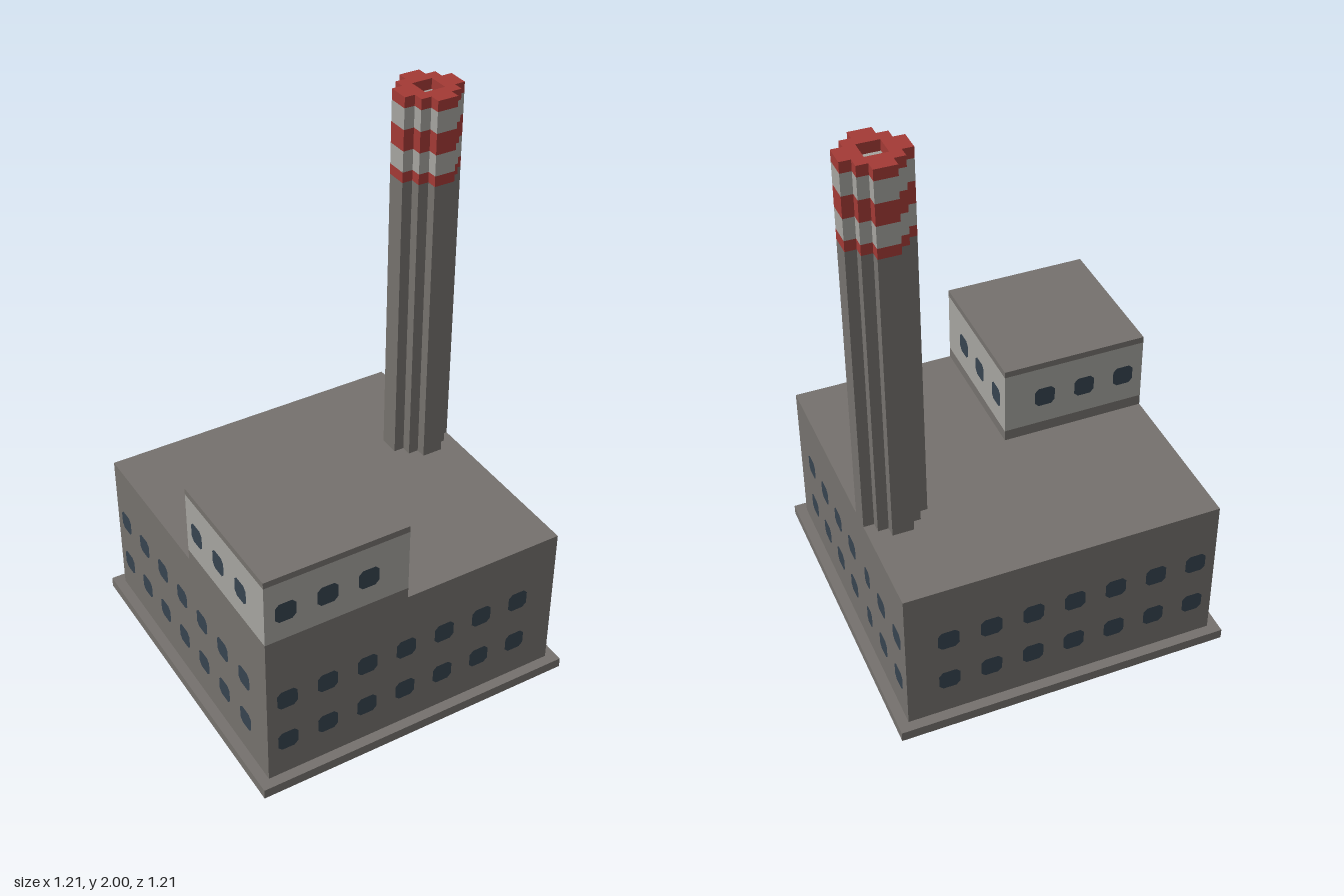
import * as THREE from 'three';

const U = 2 / 53; // block unit

const mat = (name, color) => {
  const m = new THREE.MeshStandardMaterial({ color });
  m.name = name;
  return m;
};

export function createModel() {
  const concrete = mat('concrete grey', 0x75716d);
  const pale = mat('pale grey', 0xa5a49f);
  const red = mat('warning red', 0xa33a35);
  const glass = mat('window blue', 0x36434f);

  const model = new THREE.Group();
  model.name = 'factory';

  const add = (parent, name, geometry, material) => {
    const mesh = new THREE.Mesh(geometry, material);
    mesh.name = name;
    parent.add(mesh);
    return mesh;
  };

  // Box given by its extents
  const box = (name, x0, x1, y0, y1, z0, z1, material) =>
    add(model, name, new THREE.BoxGeometry(x1 - x0, y1 - y0, z1 - z0), material)
      .position.set((x0 + x1) / 2, (y0 + y1) / 2, (z0 + z1) / 2);

  // Base slab and main hall
  const half = 15 * U, hallTop = 16 * U;
  box('baseSlab', -16 * U, 16 * U, 0, U, -16 * U, 16 * U, concrete);
  box('mainHall', -half, half, U, hallTop, -half, half, concrete);

  // Corner office: plinth, pale wall and roof
  const office = [['officePlinth', hallTop, 0.645, concrete],
    ['officeWall', 0.645, 0.882, pale], ['officeRoof', 0.882, 24 * U, concrete]];
  for (const [name, y0, y1, m] of office) box(name, -half, -U, y0, y1, U, half, m);

  // Stepped round chimney section
  const corner = [[3, -1], [3, 1], [2, 1], [2, 2], [1, 2], [1, 3]];
  const outline = [];
  for (let k = 0; k < 4; k++) {
    for (const [a, b] of corner.slice(1)) {
      const [x, y] = [[a, b], [-b, a], [-a, -b], [b, -a]][k];
      outline.push(new THREE.Vector2(x * U, y * U));
    }
  }
  const chimney = new THREE.Group();
  chimney.name = 'chimney';
  chimney.position.set(12 * U, 0, -4 * U);
  model.add(chimney);
  const ring = (name, from, to, material, hollow) => {
    const shape = new THREE.Shape(outline);
    if (hollow) {
      shape.holes.push(new THREE.Path([[-U, -U], [-U, U], [U, U], [U, -U]]
        .map(([x, y]) => new THREE.Vector2(x, y))));
    }
    const g = new THREE.ExtrudeGeometry(shape, { depth: (to - from) * U, bevelEnabled: false });
    g.rotateX(-Math.PI / 2).translate(0, from * U, 0);
    add(chimney, name, g, material);
  };
  ring('chimneyShaft', 16, 45, concrete);
  ring('lowerRedBand', 45, 46, red);
  ring('lowerPaleBand', 46, 48, pale);
  ring('middleRedBand', 48, 50, red);
  ring('upperPaleBand', 50, 52, pale);
  ring('chimneyRim', 52, 53, red, true);

  // Window pane with clipped corners
  const pane = (w) => {
    const a = w / 2, b = U, c = 0.38 * a, d = 0.38 * b;
    return new THREE.ShapeGeometry(new THREE.Shape([
      [a, -b + d], [a, b - d], [a - c, b], [-a + c, b],
      [-a, b - d], [-a, -b + d], [-a + c, -b], [a - c, -b],
    ].map(([x, y]) => new THREE.Vector2(x, y))));
  };
  const wide = pane(2 * U), narrow = pane(0.053);
  const windowAt = (name, x, y, z, turn, geometry = wide) => {
    const m = add(model, name, geometry, glass);
    m.position.set(x, y, z);
    m.rotation.y = turn;
  };
  const out = half + 0.002, quarter = Math.PI / 2;

  // Two rows of seven windows on each hall side
  for (const y of [5 * U, 10 * U]) {
    for (let i = 0; i < 7; i++) {
      const x = (-13 + 4 * i) * U, z = (11 - 4 * i) * U;
      windowAt('frontWindow', x, y, out, 0);
      windowAt('backWindow', x, y, -out, Math.PI);
      windowAt('rightWindow', -out, y, z, -quarter);
      if (i === 4) windowAt('leftWindow', out, y, -0.199, quarter, narrow);
      else windowAt('leftWindow', out, y, z, quarter);
    }
  }

  // Three windows on each office side
  for (let i = 0; i < 3; i++) {
    const x = (-13 + 4 * i) * U, z = (11 - 4 * i) * U, y = 20.1 * U;
    windowAt('officeFrontWindow', x, y, out, 0);
    windowAt('officeBackWindow', x, y, U - 0.002, Math.PI);
    windowAt('officeRightWindow', -out, y, z, -quarter);
    windowAt('officeLeftWindow', -U + 0.002, y, z, quarter);
  }

  return model;
}
